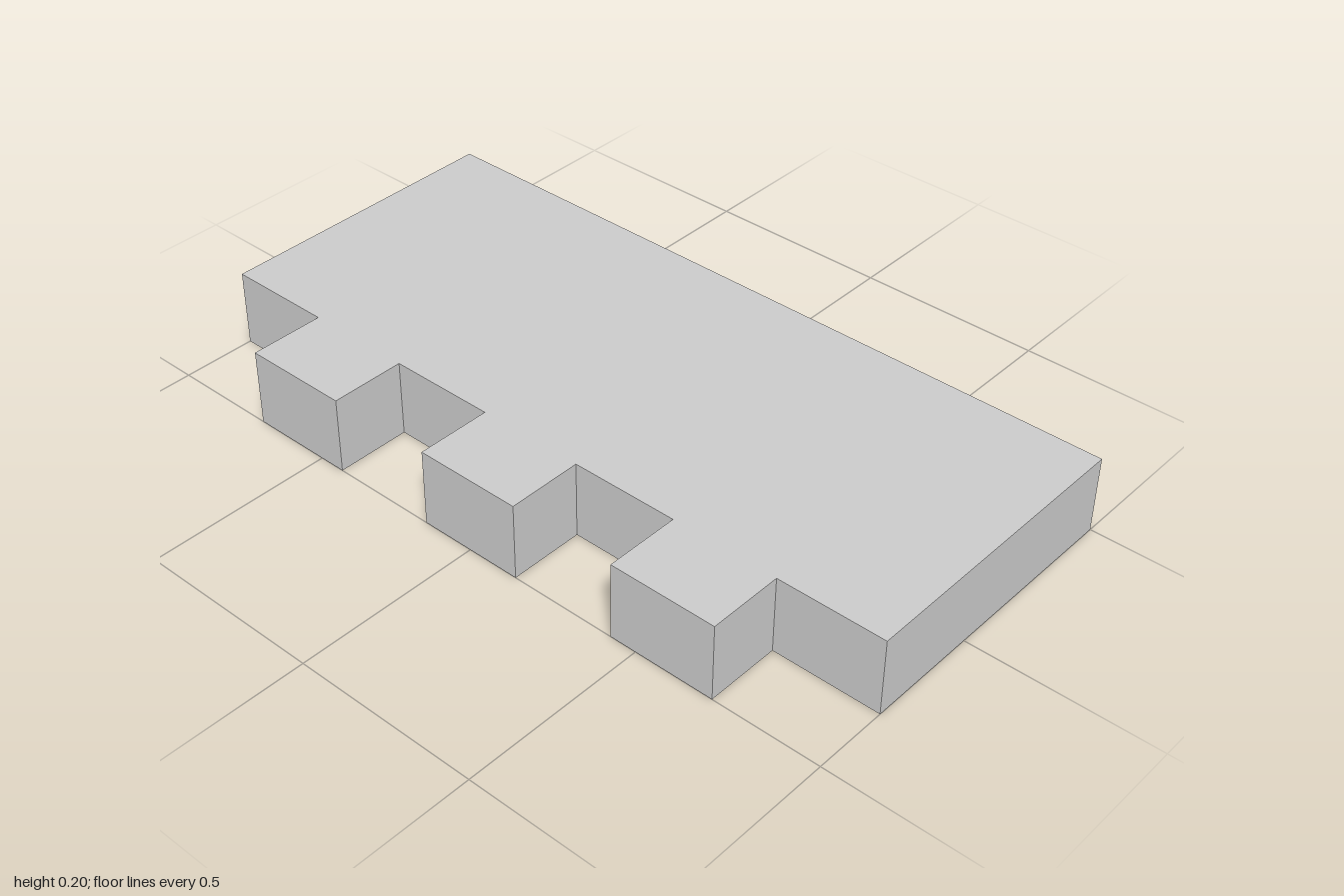
import * as THREE from 'three';

export function createModel() {
  const group = new THREE.Group();
  const height = 0.205, back = -0.5, edge = 0.3, tip = 0.5;
  const unit = 1 / 7;

  // Plan outline: shape y is -z, so the front edge with its teeth lies at negative y
  const outline = new THREE.Shape();
  outline.moveTo(-1, -edge);
  for (const centre of [-4, 0, 4]) {
    const x0 = (centre - 1) * unit, x1 = (centre + 1) * unit;
    outline.lineTo(x0, -edge);
    outline.lineTo(x0, -tip);
    outline.lineTo(x1, -tip);
    outline.lineTo(x1, -edge);
  }
  outline.lineTo(1, -edge);
  outline.lineTo(1, -back);
  outline.lineTo(-1, -back);
  outline.closePath();

  // Slab with three teeth along the front
  const geometry = new THREE.ExtrudeGeometry(outline, { depth: height, bevelEnabled: false });
  geometry.rotateX(-Math.PI / 2);
  const slab = new THREE.Mesh(
    geometry,
    new THREE.MeshStandardMaterial({ color: 0xcccccc, flatShading: true })
  );
  slab.name = 'toothedSlab';
  group.add(slab);
  return group;
}
